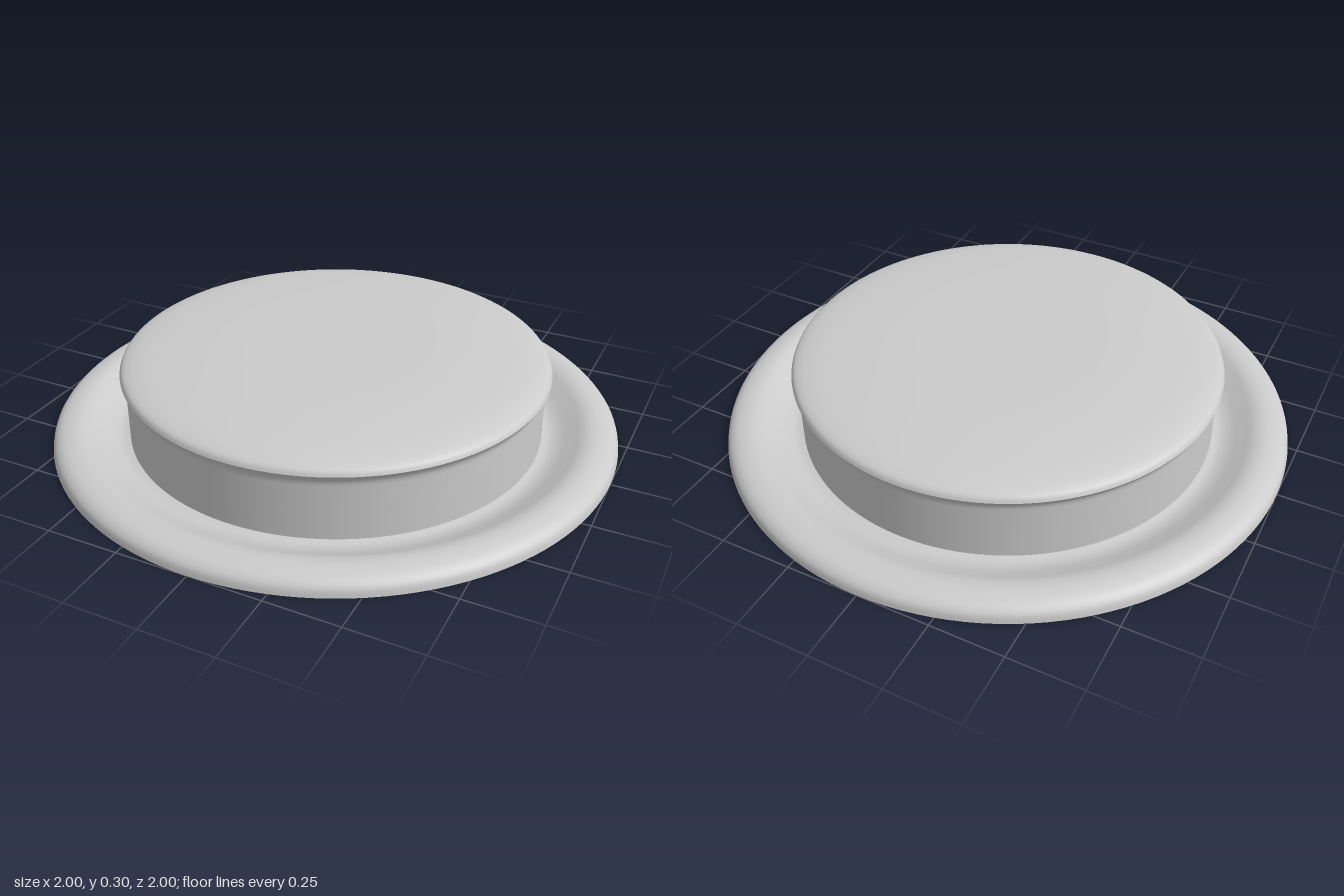
import * as THREE from 'three';

const material = new THREE.MeshStandardMaterial({ color: 0xcccccc, side: THREE.DoubleSide });

// Revolve a list of [radius, height] points around the y axis
function lathe(name, points) {
  const profile = points.map(([r, y]) => new THREE.Vector2(r, y));
  const mesh = new THREE.Mesh(new THREE.LatheGeometry(profile, 128), material);
  mesh.name = name;
  return mesh;
}

// Smooth curve through a few control points
function smooth(points, steps) {
  const curve = new THREE.SplineCurve(points.map(([r, y]) => new THREE.Vector2(r, y)));
  return curve.getPoints(steps).map((p) => [p.x, p.y]);
}

export function createModel() {
  const model = new THREE.Group();
  model.name = 'flangedCap';

  // Thin rolled rim, hollow below, dipping into a groove beside the wall
  model.add(lathe('rim', smooth([
    [1, 0], [0.992, 0.028], [0.965, 0.049], [0.92, 0.058], [0.88, 0.052],
    [0.84, 0.032], [0.8, 0.012], [0.765, 0.003], [0.735, 0.006],
  ], 36)));

  // Upright wall flaring out to a narrow lip
  model.add(lathe('wall', [
    [0.735, 0.006], [0.735, 0.12], ...smooth([[0.735, 0.2], [0.738, 0.22], [0.752, 0.243]], 6),
  ]));

  // Slightly domed top with a rounded shoulder
  model.add(lathe('top', smooth([
    [0.752, 0.243], [0.738, 0.262], [0.69, 0.277], [0.6, 0.288], [0.42, 0.299], [0.2, 0.302], [0, 0.302],
  ], 28)));

  // Shallow recessed base plate closing the underside
  model.add(lathe('basePlate', [[0, 0.02], [0.725, 0.02], [0.735, 0.006]]));

  return model;
}
